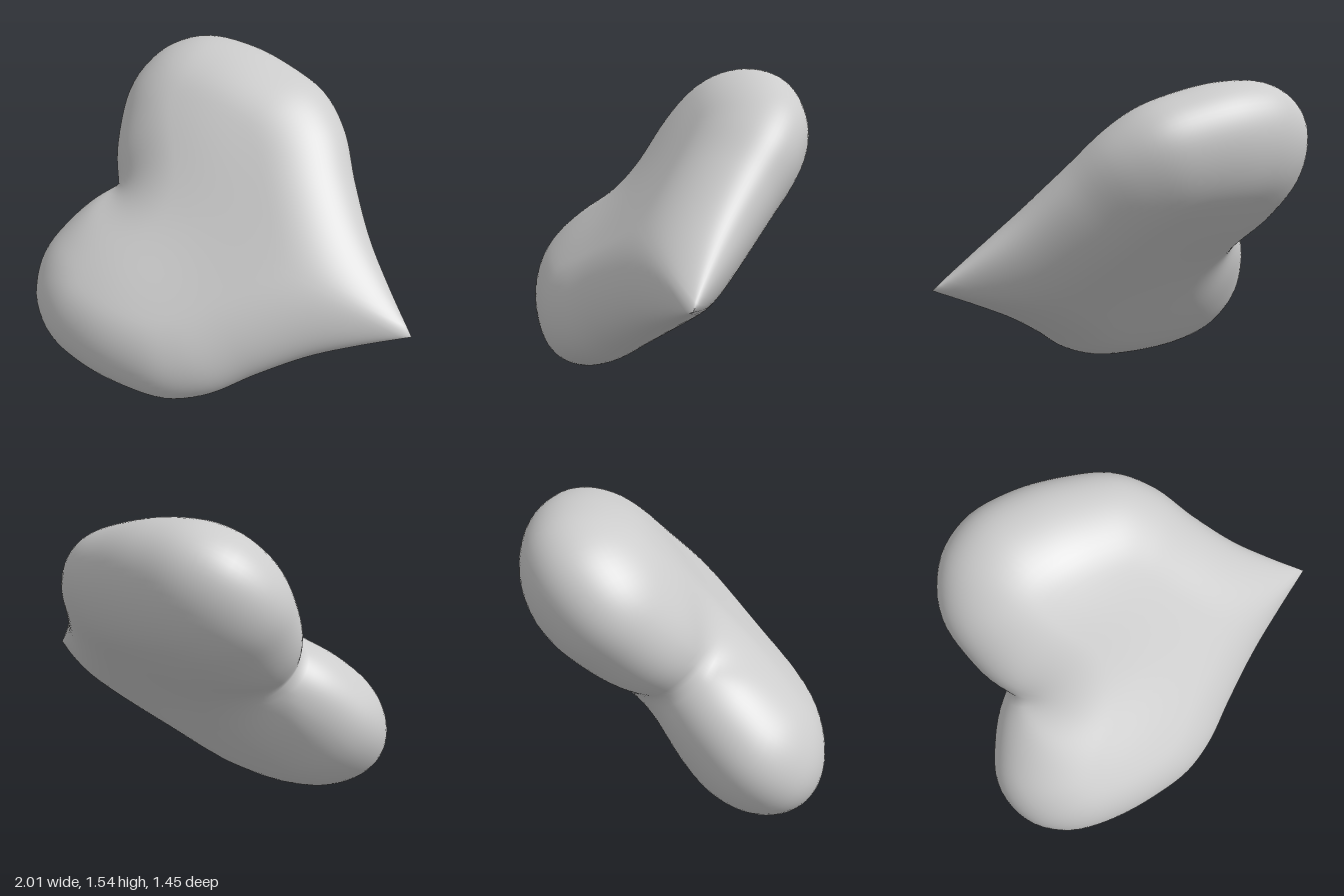
import * as THREE from 'three';
import { mergeVertices } from 'three/addons/utils/BufferGeometryUtils.js';

// Half outline of the heart: u runs from the tip to the lobes, w outwards
const HALF = [
  [1.74, 0], [1.825, 0.12], [1.895, 0.28], [1.94, 0.45], [1.925, 0.6], [1.845, 0.76], [1.68, 0.88],
  [1.44, 0.922], [1.18, 0.905], [0.95, 0.85], [0.77, 0.725], [0.6, 0.525], [0.4, 0.315], [0.2, 0.15], [0, 0],
];
const CENTRE = 1.15;      // middle of the rings along u
const ROUNDING = 0.36;    // width of the rounded border
const UPPER_WIDTH = 1.05; // the upper lobe is slightly wider

// Distance from a point to a chain of short segments
function distanceTo(chain, u, w) {
  let best = Infinity;
  for (let i = 1; i < chain.length; i++) {
    const a = chain[i - 1], b = chain[i];
    const du = b.x - a.x, dw = b.y - a.y;
    const k = THREE.MathUtils.clamp(((u - a.x) * du + (w - a.y) * dw) / (du * du + dw * dw), 0, 1);
    best = Math.min(best, Math.hypot(u - a.x - k * du, w - a.y - k * dw));
  }
  return best;
}

// Half thickness: a round border, fuller lobes, a slim tip
function thickness(half, u, w) {
  const a = Math.max(distanceTo(half, u, w), 1e-6);
  const b = Math.max(distanceTo(half, u, -w), 1e-6);
  const edge = Math.min(1, (a ** -4 + b ** -4) ** -0.25 / ROUNDING); // blended so no ridge forms
  const bump = (cw) => Math.exp(-((u - 1.42) ** 2 + (w - cw) ** 2) / 0.16);
  const along = Math.max(u, 0) / 0.7;
  const taper = Math.sqrt(along / (1 + along ** 4) ** 0.25);
  return (0.28 + 0.052 * (bump(0.47) + bump(-0.5))) * taper * Math.sqrt(1 - (1 - edge) ** 2);
}

// Places a point of the heart (u, w, height h) in the tilted plane
function place(u, w, h) {
  const v = w > 0 ? w * UPPER_WIDTH : w;
  const x = 1 - 0.972 * u + 0.235 * v;
  const t = 0.205 + 0.235 * u + 0.972 * v;
  const s = 0.539 + 0.052 * t + 0.051 * x + h;
  const lean = t - 0.052 * h;
  return [x - 0.051 * h, (s + lean) * Math.SQRT1_2, (s - lean) * Math.SQRT1_2];
}

function heartGeometry() {
  const curve = new THREE.CatmullRomCurve3(HALF.map(([u, w]) => new THREE.Vector3(u, w, 0)));
  const half = curve.getSpacedPoints(64);
  const mirrored = half.slice(1, -1).reverse().map((p) => new THREE.Vector3(p.x, -p.y, 0));
  const outline = [...half, ...mirrored];
  const n = outline.length;
  const rows = 56;
  const positions = [];
  const index = [];

  // Rings grow from the front centre to the rim and shrink to the back centre
  for (let i = 0; i <= rows; i++) {
    const angle = (Math.PI * i) / rows;
    const r = i === rows ? 0 : Math.sin(angle);
    const side = i === rows / 2 ? 0 : Math.sign(Math.cos(angle));
    for (const p of outline) {
      const du = p.x - CENTRE;
      const k = r * THREE.MathUtils.lerp(0.85 / Math.hypot(du, p.y), 1, r); // inner rings are rounder
      const u = CENTRE + du * k;
      const w = p.y * k;
      positions.push(...place(u, w, side * thickness(half, u, w)));
    }
  }
  for (let i = 0; i < rows; i++) {
    for (let j = 0; j < n; j++) {
      const next = (j + 1) % n;
      const a = i * n + j, b = a + n, c = (i + 1) * n + next, d = i * n + next;
      if (i < rows - 1) index.push(a, c, b);
      if (i > 0) index.push(a, d, c);
    }
  }

  let geometry = new THREE.BufferGeometry();
  geometry.setAttribute('position', new THREE.Float32BufferAttribute(positions, 3));
  geometry.setIndex(index);
  geometry = mergeVertices(geometry, 1e-5);
  geometry.computeVertexNormals();

  // Centre it, standing on the ground
  geometry.center();
  geometry.translate(0, -geometry.boundingBox.min.y, 0);
  return geometry;
}

export function createModel() {
  const grey = new THREE.MeshStandardMaterial({ color: 0xcccccc });
  grey.name = 'light grey';
  const heart = new THREE.Mesh(heartGeometry(), grey);
  heart.name = 'heart';
  const model = new THREE.Group();
  model.name = 'puffyHeart';
  model.add(heart);
  return model;
}
